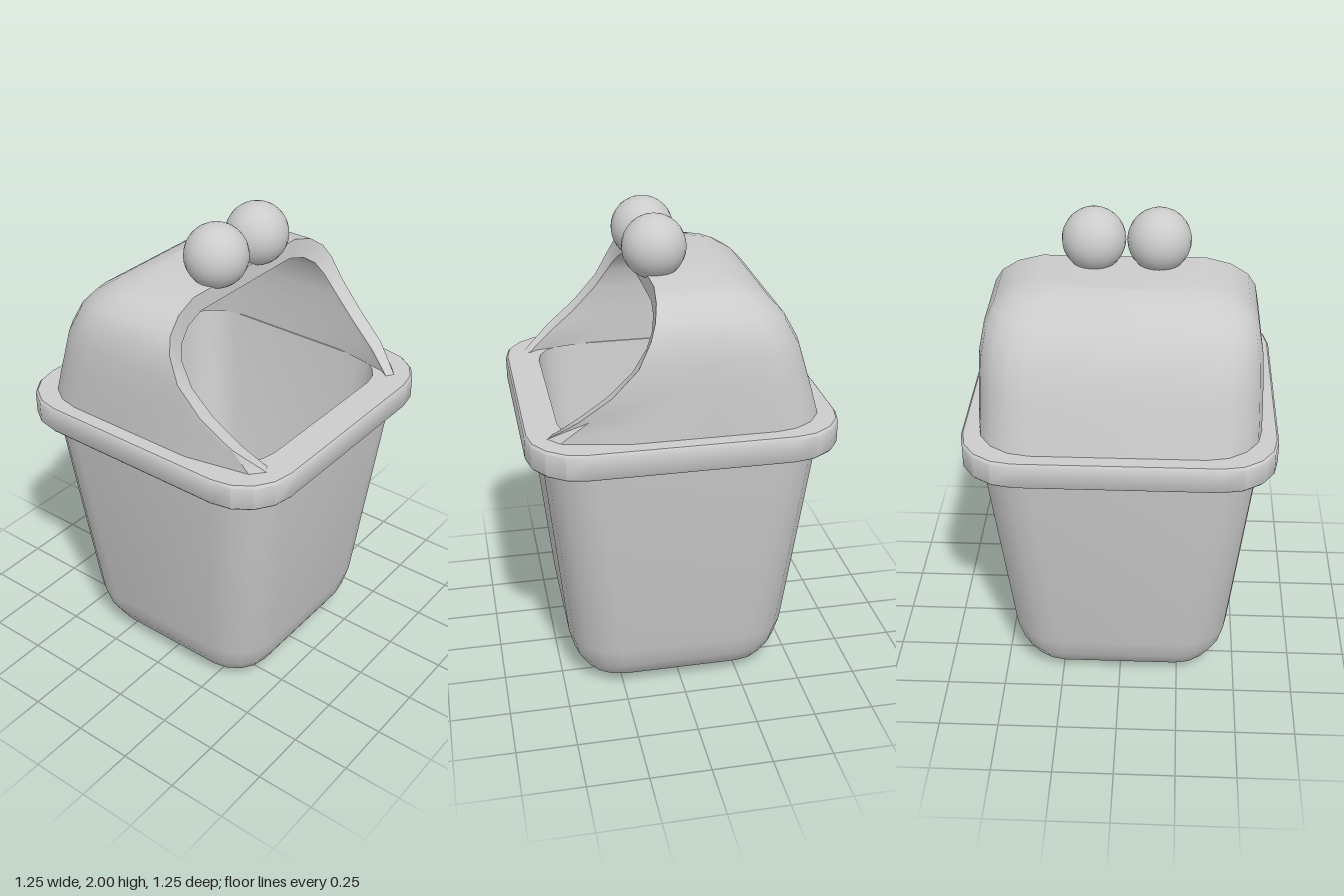
import * as THREE from 'three';
import { toCreasedNormals } from 'three/addons/utils/BufferGeometryUtils.js';

const material = new THREE.MeshStandardMaterial({ color: 0xcccccc });

function addMesh(group, name, geometry) {
  const mesh = new THREE.Mesh(geometry, material);
  mesh.name = name;
  group.add(mesh);
  return mesh;
}

// Skin a list of rows, each row being the same number of [x, y, z] points
function skin(rows, closed, crease = 0.75) {
  const n = rows[0].length;
  const index = [];
  for (let i = 0; i < rows.length - 1; i++) {
    for (let j = 0; j < (closed ? n : n - 1); j++) {
      const k = (j + 1) % n;
      const a = i * n + j, b = i * n + k, c = b + n, d = a + n;
      index.push(a, b, c, a, c, d);
    }
  }
  const geometry = new THREE.BufferGeometry();
  geometry.setAttribute('position', new THREE.Float32BufferAttribute(rows.flat(2), 3));
  geometry.setIndex(index);
  return toCreasedNormals(geometry, crease);
}

// Rounded square ring, counter-clockwise from above
function ring([y, half, radius]) {
  const points = [];
  for (let corner = 0; corner < 4; corner++) {
    const mid = Math.PI * (corner / 2 + 0.25);
    const cx = Math.sign(Math.cos(mid)) * (half - radius);
    const cz = -Math.sign(Math.sin(mid)) * (half - radius);
    for (let s = 0; s <= 4; s++) {
      const a = Math.PI * (corner / 2 + s / 8);
      points.push([cx + radius * Math.cos(a), y, cz - radius * Math.sin(a)]);
    }
  }
  return points;
}
const loft = (profile) => skin(profile.map(ring), true);

// Piecewise linear lookup in a table of [input, output]
function lookup(table, v) {
  if (v <= table[0][0]) return table[0][1];
  for (let i = 1; i < table.length; i++) {
    const [a, fa] = table[i - 1], [b, fb] = table[i];
    if (v <= b) return fa + (fb - fa) * (v - a) / (b - a);
  }
  return table[table.length - 1][1];
}

// Lid levels: height, half width, back z, corner radius
const lidLevels = [
  [1.24, 0.56, -0.56, 0.22], [1.33, 0.56, -0.535, 0.22],
  [1.43, 0.558, -0.505, 0.22], [1.54, 0.553, -0.47, 0.21],
  [1.64, 0.535, -0.415, 0.2], [1.70, 0.50, -0.36, 0.18],
  [1.75, 0.43, -0.285, 0.15], [1.78, 0.33, -0.2, 0.1],
];
// Side profile of the mouth: height to z
const mouth = [[1.24, 0.54], [1.43, 0.3], [1.54, 0.2], [1.66, 0.14], [1.75, 0.11], [1.78, 0.1]];
// The sides pull in toward the front corners: z to width factor
const pullIn = [[0.25, 1], [0.5, 0.9], [0.54, 0.81]];

// U-shaped row running from the left mouth edge round the back to the right
function lidRow(y, w, back, r, front) {
  const half = [];
  for (const t of [0, 0.05, 0.35, 0.7]) {
    const z = front + (back + r - front) * t;
    half.push([w * lookup(pullIn, z), y, z]);
  }
  for (let s = 0; s <= 4; s++) {
    const a = s * Math.PI / 8;
    half.push([w - r + r * Math.cos(a), y, back + r - r * Math.sin(a)]);
  }
  return [...half, ...half.map(([x, py, z]) => [-x, py, z]).reverse()];
}

function lidRows(inner) {
  const rows = lidLevels.map(([y, w, back, r]) => {
    const py = inner ? 1.24 + (y - 1.24) * 0.87 : y;
    const front = lookup(mouth, py) - (inner ? 0.02 : 0);
    return lidRow(py, inner ? w * 0.88 : w, inner ? back + 0.06 : back, r, front);
  });
  // Close the flat top along the centre line
  rows.push(rows[rows.length - 1].map(([, y, z]) => [0, y, z]));
  return rows;
}

// Path along the mouth edge, up the left, over the top and down the right
function mouthEdge(rows) {
  const last = rows[0].length - 1;
  return [...rows.map((r) => r[0]), ...rows.map((r) => r[last]).reverse()];
}

export function createModel() {
  const model = new THREE.Group();
  model.name = 'swingBin';

  // Tapered body with a rounded bottom
  addMesh(model, 'body', loft([
    [0, 0, 0], [0, 0.25, 0.06], [0.018, 0.34, 0.12], [0.06, 0.4, 0.16],
    [0.13, 0.442, 0.19], [0.22, 0.465, 0.2], [1.14, 0.56, 0.2],
  ]));

  // Collar around the mouth of the body
  addMesh(model, 'rim', loft([
    [1.13, 0.54, 0.18], [1.13, 0.617, 0.215], [1.14, 0.625, 0.22],
    [1.23, 0.625, 0.22], [1.24, 0.617, 0.215], [1.24, 0.487, 0.16],
  ]));

  // Inside walls and floor
  addMesh(model, 'liner', loft([
    [1.24, 0.487, 0.16], [0.22, 0.405, 0.15], [0.12, 0.375, 0.13],
    [0.07, 0.3, 0.1], [0.06, 0.22, 0.06], [0.06, 0, 0],
  ]));

  // Domed lid with a thick-edged opening
  const lid = new THREE.Group();
  lid.name = 'lid';
  model.add(lid);
  const outer = lidRows(false), inner = lidRows(true);
  addMesh(lid, 'lidOuter', skin(outer, false));
  addMesh(lid, 'lidInner', skin([...inner].reverse(), false));
  addMesh(lid, 'mouthEdge', skin([mouthEdge(outer), mouthEdge(inner)], false));

  // Two balls on top
  for (const [name, x] of [['leftBall', 0.12], ['rightBall', -0.14]]) {
    addMesh(model, name, new THREE.SphereGeometry(0.128, 24, 16)).position.set(x, 1.872, 0.06);
  }
  return model;
}
